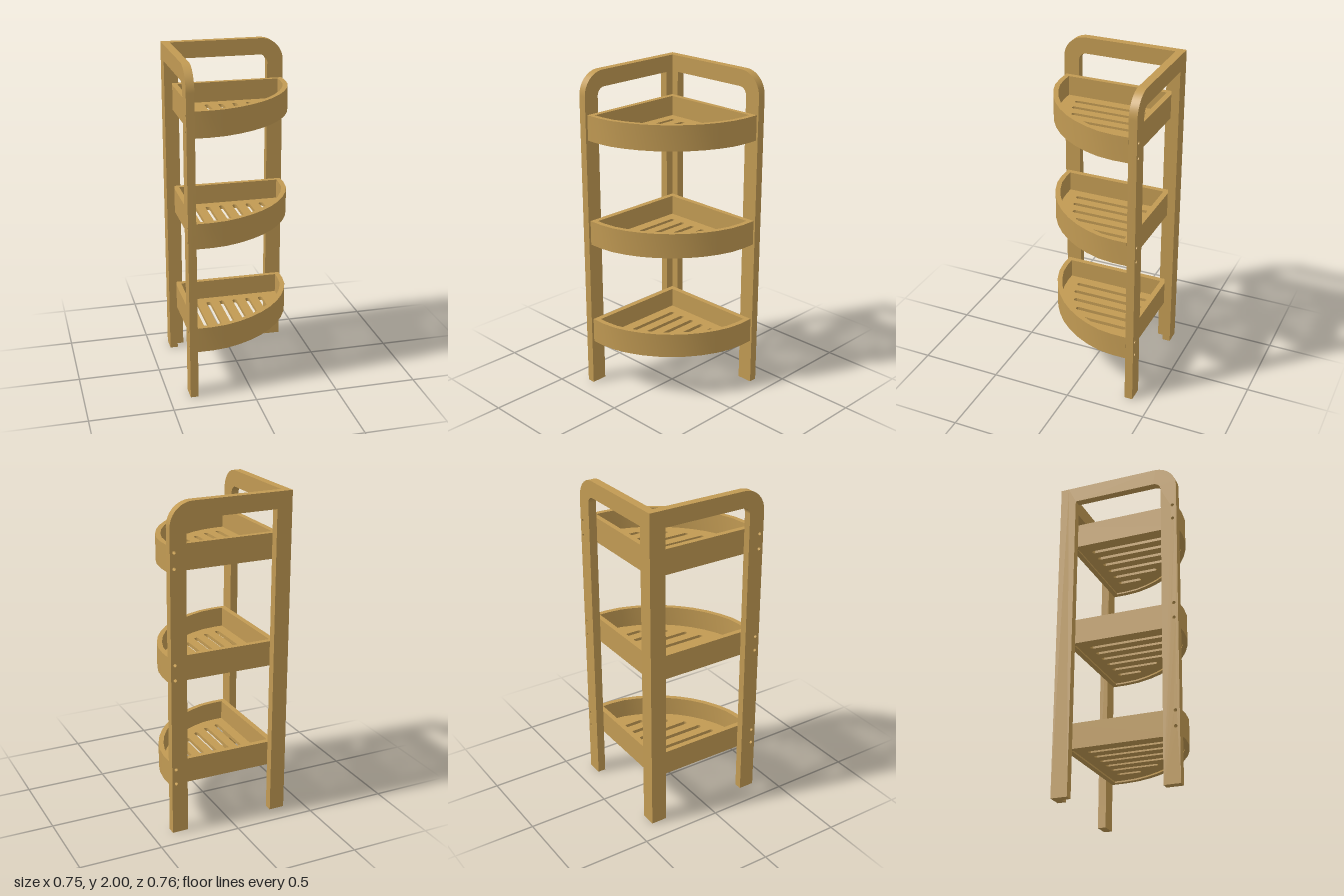
import * as THREE from 'three';
import { toCreasedNormals } from 'three/addons/utils/BufferGeometryUtils.js';

const HALF_X = 0.375, HALF_Z = 0.38, BOARD = 0.05;
const TRAY_BOTTOMS = [0.29, 0.945, 1.6], TRAY_HEIGHT = 0.153;

function extrude(shape, depth) {
  const geometry = new THREE.ExtrudeGeometry(shape, { depth, bevelEnabled: false, curveSegments: 10 });
  return toCreasedNormals(geometry, 0.5);
}

// Upside-down U frame: square at the corner post, rounded at the free end
function frameGeometry(start, innerStart, end, depth) {
  const inner = end - 0.098;
  const s = new THREE.Shape();
  s.moveTo(start, 0);
  s.lineTo(innerStart, 0);
  s.lineTo(innerStart, 1.9);
  s.lineTo(inner - 0.05, 1.9);
  s.absarc(inner - 0.05, 1.85, 0.05, Math.PI / 2, 0, true);
  s.lineTo(inner, 0);
  s.lineTo(end, 0);
  s.lineTo(end, 1.86);
  s.absarc(end - 0.14, 1.86, 0.14, 0, Math.PI / 2, false);
  s.lineTo(start, 2);
  s.closePath();
  // Screw holes, two for each tray
  for (const bottom of TRAY_BOTTOMS) {
    for (const dy of [0.033, 0.125]) {
      const hole = new THREE.Path();
      hole.absarc(end - 0.025, bottom + dy, 0.01, 0, Math.PI * 2, true);
      s.holes.push(hole);
    }
  }
  return extrude(s, depth);
}

// Quarter-round outline in x and z, shrunk by inset on the straight sides
function sectorPoints(inset, radius, limit) {
  const cx = -0.327 + inset, cz = -0.33 + inset;
  const points = [new THREE.Vector2(cx, cz)];
  for (let i = 0; i <= 12; i++) {
    const a = (i / 12) * Math.PI / 2;
    const x = -0.326 + radius * Math.cos(a), z = -0.326 + radius * Math.sin(a);
    points.push(new THREE.Vector2(
      Math.max(cx, Math.min(limit, x)),
      Math.max(cz, Math.min(limit, z))));
  }
  return points;
}

// Rounded slot along z
function slotPath(x, z0, z1) {
  const r = 0.014, p = new THREE.Path();
  p.absarc(x, z1 - r, r, 0, Math.PI, false);
  p.absarc(x, z0 + r, r, Math.PI, Math.PI * 2, false);
  p.closePath();
  return p;
}

export function createModel() {
  const model = new THREE.Group();
  model.name = 'cornerShelf';
  const wood = new THREE.MeshStandardMaterial({ color: 0xc19a53 });
  wood.name = 'bamboo wood';

  function add(parent, name, geometry) {
    const mesh = new THREE.Mesh(geometry, wood);
    mesh.name = name;
    parent.add(mesh);
    return mesh;
  }

  // Two frames meeting at the back corner
  const back = add(model, 'backFrame', frameGeometry(-HALF_X, -0.28, HALF_X, BOARD));
  back.position.z = -HALF_Z;
  const side = add(model, 'sideFrame', frameGeometry(-HALF_Z + BOARD, -0.28, HALF_Z, 0.048));
  side.rotation.y = -Math.PI / 2;
  side.position.x = -HALF_X + 0.048;

  // Tray wall: quarter-round ring
  const outer = sectorPoints(0, 0.704, 0.366);
  const inner = sectorPoints(0.034, 0.674, 0.335);
  const wallShape = new THREE.Shape(outer);
  wallShape.holes.push(new THREE.Path(inner));
  const wallGeometry = extrude(wallShape, TRAY_HEIGHT).rotateX(Math.PI / 2);

  // Tray floor with drainage slots that follow the curve
  const floorShape = new THREE.Shape(inner);
  [0.258, 0.238, 0.202, 0.148, 0.063, -0.077].forEach((end, i) => {
    floorShape.holes.push(slotPath(-0.215 + i * 0.0856, -0.232, end));
  });
  const floorGeometry = extrude(floorShape, 0.022).rotateX(Math.PI / 2);

  TRAY_BOTTOMS.forEach((bottom, i) => {
    const tray = new THREE.Group();
    tray.name = ['lowerTray', 'middleTray', 'upperTray'][i];
    tray.position.y = bottom;
    add(tray, 'trayWall', wallGeometry).position.y = TRAY_HEIGHT;
    add(tray, 'slottedFloor', floorGeometry).position.y = 0.032;
    model.add(tray);
  });

  return model;
}
